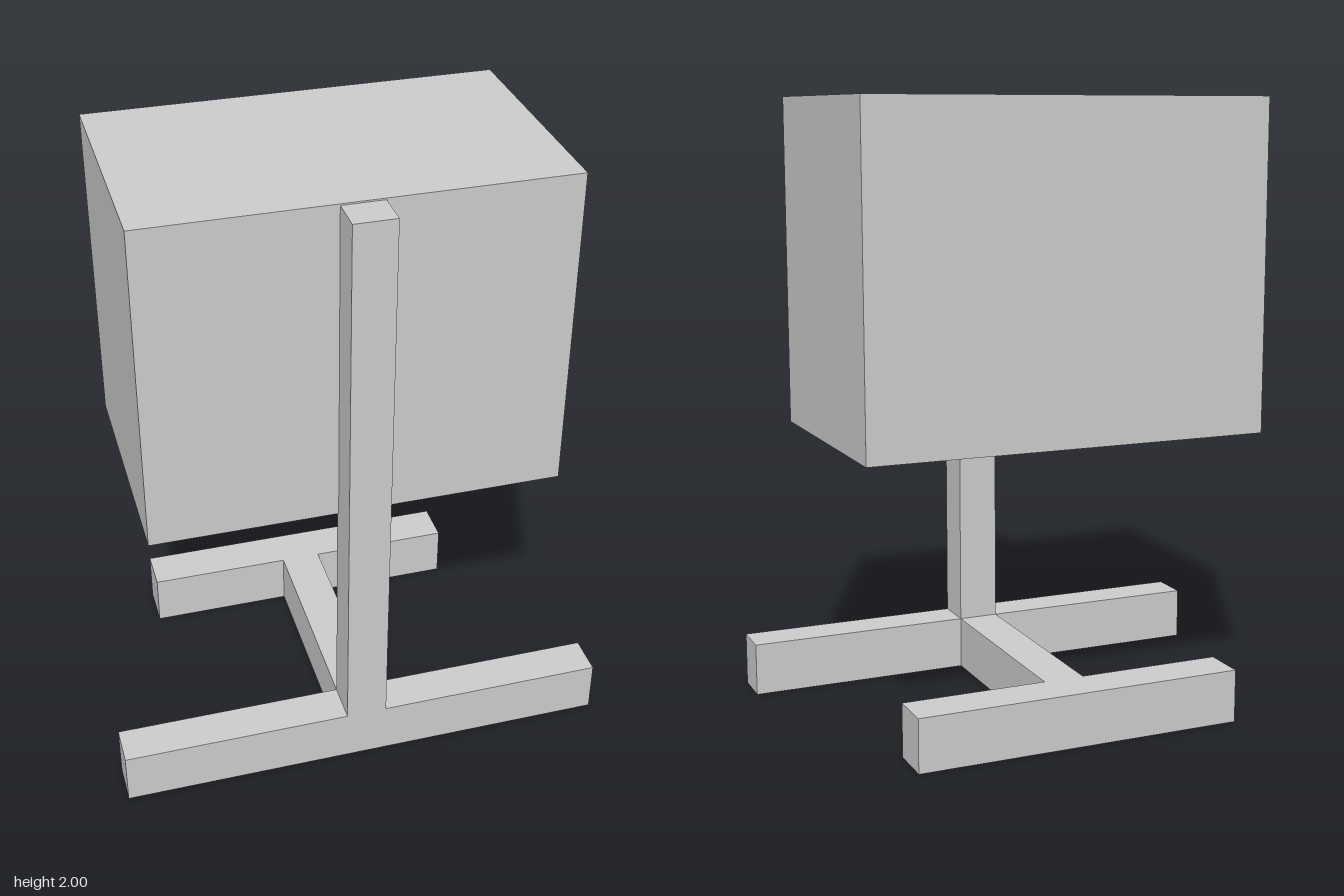
import * as THREE from 'three';

const material = new THREE.MeshStandardMaterial({ color: 0xcccccc, flatShading: true });

// Box given by its extents along each axis
function block(name, [x0, x1], [y0, y1], [z0, z1]) {
  const mesh = new THREE.Mesh(new THREE.BoxGeometry(x1 - x0, y1 - y0, z1 - z0), material);
  mesh.position.set((x0 + x1) / 2, (y0 + y1) / 2, (z0 + z1) / 2);
  mesh.name = name;
  return mesh;
}

export function createModel() {
  const model = new THREE.Group();
  model.name = 'boxOnStand';

  const beam = 0.067;       // half width of post and spine
  const baseHeight = 0.175;
  const frontFoot = 0.812;  // half lengths of the two feet
  const rearFoot = 0.545;

  // H-shaped base: long front foot, spine and shorter rear foot in one outline
  const half = [
    [frontFoot, 0.5], [frontFoot, 0.367], [beam, 0.367],
    [beam, -0.355], [rearFoot, -0.355], [rearFoot, -0.5],
  ];
  const outline = [...half, ...half.map(([x, z]) => [-x, z]).reverse()];
  const shape = new THREE.Shape(outline.map(([x, z]) => new THREE.Vector2(x, -z)));
  const baseGeometry = new THREE.ExtrudeGeometry(shape, { depth: baseHeight, bevelEnabled: false });
  baseGeometry.rotateX(-Math.PI / 2);
  const base = new THREE.Mesh(baseGeometry, material);
  base.name = 'base';
  model.add(base);

  // Upright post, flush with the front of the base
  model.add(block('post', [-beam, beam], [baseHeight, 1.995], [0.367, 0.5]));

  // Large box fixed to the back of the post
  model.add(block('box', [-0.668, 0.668], [0.932, 2], [-0.42, 0.382]));

  return model;
}
